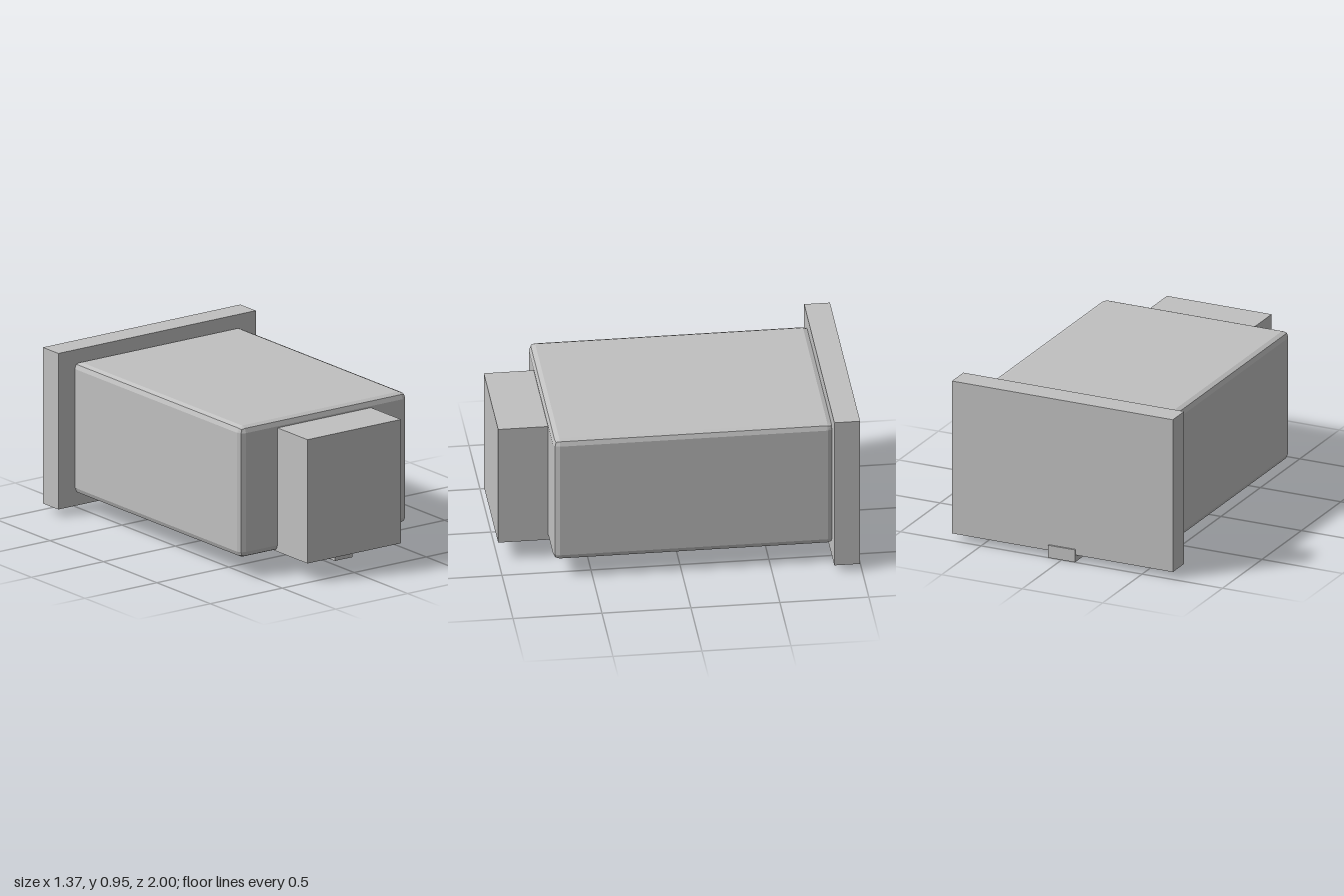
import * as THREE from 'three';
import { RoundedBoxGeometry } from 'three/addons/geometries/RoundedBoxGeometry.js';

const grey = new THREE.MeshStandardMaterial({ color: 0xc0c0c0 });
grey.name = 'plain grey';

function addMesh(group, name, geometry, x, y, z) {
  const mesh = new THREE.Mesh(geometry, grey);
  mesh.name = name;
  mesh.position.set(x, y, z);
  group.add(mesh);
  return mesh;
}

// Box given by its limits along each axis
function addBox(group, name, [x0, x1], [y0, y1], [z0, z1]) {
  return addMesh(group, name, new THREE.BoxGeometry(x1 - x0, y1 - y0, z1 - z0),
    (x0 + x1) / 2, (y0 + y1) / 2, (z0 + z1) / 2);
}

export function createModel() {
  const model = new THREE.Group();
  model.name = 'instrumentHousing';

  // Main housing with two-step faceted bevels
  const housing = new RoundedBoxGeometry(1.16, 0.765, 1.577, 1, 0.036);
  housing.computeVertexNormals();
  addMesh(model, 'housing', housing, 0, 0.4965, -0.0685);

  // Flat panel at the back, block at the front
  addBox(model, 'backPanel', [-0.686, 0.686], [0.04, 0.95], [-0.99, -0.845]);
  addBox(model, 'frontBlock', [-0.325, 0.325], [0.112, 0.834], [0.65, 1]);

  // Latch under the panel
  addBox(model, 'latch', [-0.083, 0.083], [0, 0.074], [-1, -0.833]);

  // Rail and its thicker foot on the underside
  addBox(model, 'rail', [-0.061, 0.061], [0.066, 0.13], [0.338, 0.78]);
  addBox(model, 'railFoot', [-0.061, 0.061], [0.054, 0.13], [0.78, 0.9]);

  // Row of pegs on the underside
  const peg = new THREE.CylinderGeometry(0.037, 0.037, 0.05, 20);
  for (let i = 0; i < 4; i++) addMesh(model, 'peg', peg, 0.081, 0.101, 0.304 - i * 0.258);

  return model;
}
